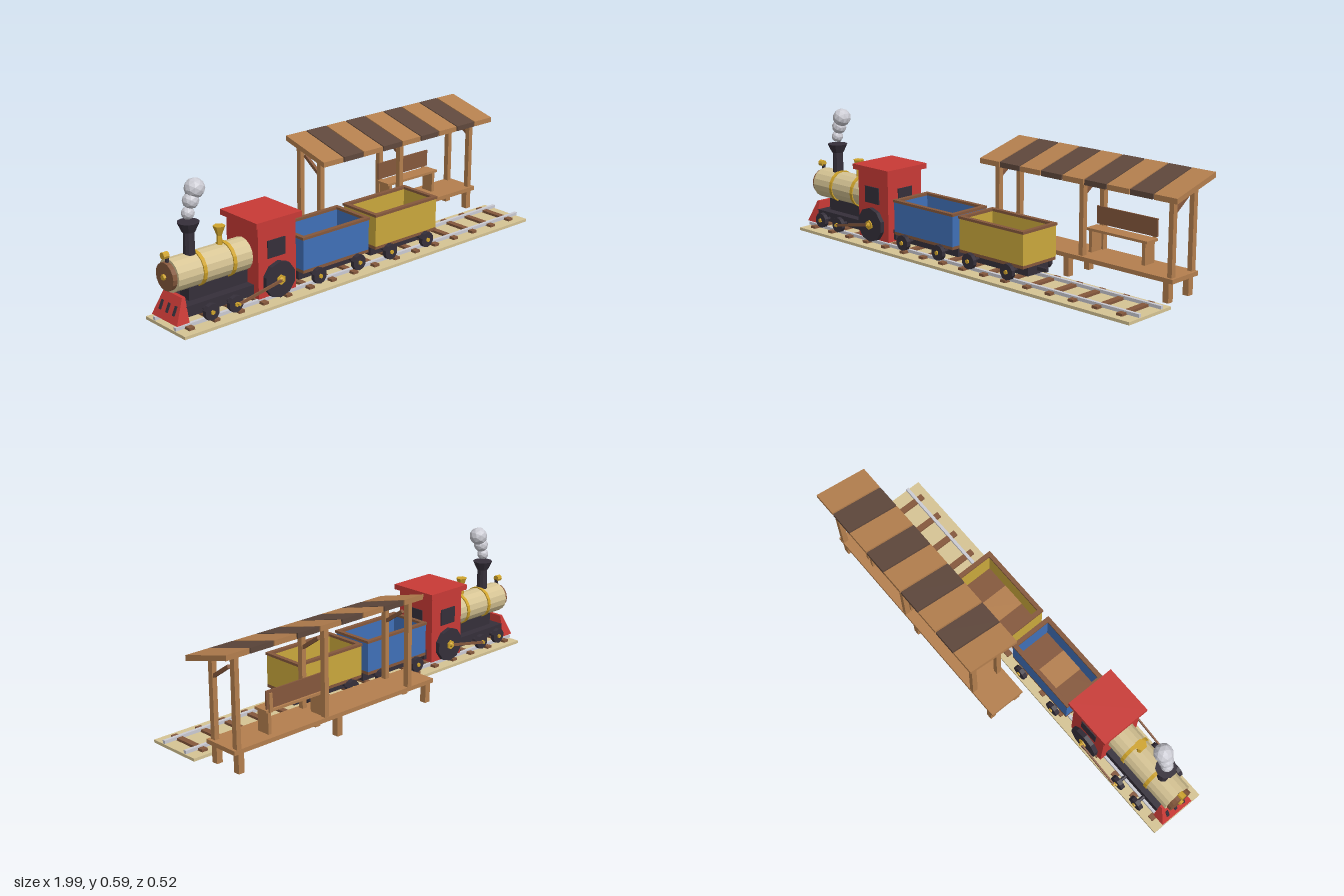
import * as THREE from 'three';

const mat = (name, color, extra = {}) => {
  const m = new THREE.MeshStandardMaterial({ color, flatShading: true, ...extra });
  m.name = name;
  return m;
};

export function createModel() {
  const red = mat('red paint', 0xc93a36), cream = mat('cream', 0xd6c494);
  const black = mat('dark iron', 0x352f3a), gold = mat('brass', 0xd0a42c);
  const blue = mat('blue paint', 0x4070b8), yellow = mat('yellow paint', 0xcaa83c);
  const wood = mat('light wood', 0xb47f4e), brown = mat('brown wood', 0x85583c);
  const dark = mat('dark wood', 0x5f483c), grey = mat('pale grey', 0xcbcbd3);
  const root = new THREE.Group();
  root.name = 'trainAndStation';
  const TZ = 0.114; // centre line of the track

  const group = (name, parent = root) => {
    const g = new THREE.Group();
    g.name = name;
    parent.add(g);
    return g;
  };
  const add = (parent, name, geo, m, x = 0, y = 0, z = 0) => {
    const mesh = new THREE.Mesh(geo, m);
    mesh.name = name;
    mesh.position.set(x, y, z);
    parent.add(mesh);
    return mesh;
  };
  // Box given by its limits on each axis
  const box = (parent, name, m, x0, x1, y0, y1, z0, z1) =>
    add(parent, name, new THREE.BoxGeometry(x1 - x0, y1 - y0, z1 - z0), m,
      (x0 + x1) / 2, (y0 + y1) / 2, (z0 + z1) / 2);
  const cylX = (r, len, sides) => new THREE.CylinderGeometry(r, r, len, sides).rotateZ(Math.PI / 2);
  const cylZ = (r, len, sides) => new THREE.CylinderGeometry(r, r, len, sides).rotateX(Math.PI / 2);

  // Track
  const track = group('track');
  box(track, 'trackBed', cream, -0.99, 0.98, 0, 0.013, -0.013, 0.249);
  for (let i = 0; i < 16; i++) {
    const x = -0.932 + i * 0.1225;
    box(track, 'sleeper', brown, x - 0.014, x + 0.014, 0.012, 0.024, 0.012, 0.217);
  }
  for (const s of [-1, 1])
    box(track, 'rail', grey, -0.99, 0.98, 0.016, 0.03, TZ + s * 0.069 - 0.007, TZ + s * 0.069 + 0.007);

  // Pair of wheels with hubs and an axle; z is relative to the centre line
  const wheelPair = (parent, x, y, r, sides) => {
    add(parent, 'axle', cylZ(0.008, 0.23, 8), black, x, y, 0);
    for (const s of [-1, 1]) {
      add(parent, 'wheel', cylZ(r, 0.02, sides), black, x, y, s * 0.115);
      add(parent, 'hub', cylZ(r * 0.28, 0.008, 6), gold, x, y, s * 0.127);
    }
  };

  // Locomotive
  const loco = group('locomotive');
  loco.position.z = TZ;
  box(loco, 'frame', black, -0.935, -0.39, 0.055, 0.1, -0.07, 0.07);
  box(loco, 'boilerSaddle', black, -0.89, -0.6, 0.1, 0.16, -0.03, 0.03);
  const BY = 0.217;
  add(loco, 'boiler', cylX(0.069, 0.36, 16), cream, -0.78, BY);
  add(loco, 'boilerDoor', cylX(0.058, 0.02, 16), brown, -0.97, BY);
  add(loco, 'doorKnob', cylX(0.012, 0.012, 6), gold, -0.985, BY);
  for (const x of [-0.835, -0.69]) add(loco, 'boilerBand', cylX(0.074, 0.016, 16), gold, x, BY);
  add(loco, 'lampStand', new THREE.BoxGeometry(0.012, 0.04, 0.012), black, -0.965, 0.28);
  add(loco, 'headLamp', cylX(0.015, 0.026, 8), gold, -0.975, 0.305);
  add(loco, 'chimney', new THREE.CylinderGeometry(0.023, 0.025, 0.11, 10), black, -0.86, 0.327);
  add(loco, 'chimneyTop', new THREE.CylinderGeometry(0.0455, 0.027, 0.04, 10), black, -0.86, 0.395);
  add(loco, 'domeStem', new THREE.CylinderGeometry(0.01, 0.014, 0.05, 6), gold, -0.713, 0.3);
  add(loco, 'dome', new THREE.CylinderGeometry(0.026, 0.009, 0.045, 6), gold, -0.713, 0.34);

  // Cab
  const cab = group('cab', loco);
  box(cab, 'cabBody', red, -0.6, -0.405, 0.045, 0.355, -0.101, 0.101);
  box(cab, 'cabRoof', red, -0.618, -0.385, 0.353, 0.377, -0.118, 0.118);
  for (const s of [-1, 1])
    add(cab, 'sideWindow', new THREE.BoxGeometry(0.09, 0.075, 0.008), black, -0.508, 0.247, s * 0.102);
  box(cab, 'rearWindow', black, -0.408, -0.401, 0.2, 0.283, -0.042, 0.042);

  // Cowcatcher: a wedge narrowed toward the top
  const wedge = new THREE.Shape([
    new THREE.Vector2(-0.99, 0.038), new THREE.Vector2(-0.93, 0.038),
    new THREE.Vector2(-0.93, 0.138), new THREE.Vector2(-0.945, 0.138)]);
  const wedgeGeo = new THREE.ExtrudeGeometry(wedge, { depth: 0.168, bevelEnabled: false }).translate(0, 0, -0.084);
  const wp = wedgeGeo.attributes.position;
  for (let i = 0; i < wp.count; i++) if (wp.getY(i) > 0.1) wp.setZ(i, wp.getZ(i) * 0.72);
  wedgeGeo.computeVertexNormals();
  add(loco, 'cowcatcher', wedgeGeo, red);
  for (const z of [-0.045, 0, 0.045]) {
    const slot = add(loco, 'cowcatcherSlot', new THREE.BoxGeometry(0.006, 0.04, 0.014), black, -0.969, 0.085, z);
    slot.rotation.z = -Math.atan2(0.045, 0.1);
  }

  // Running gear
  for (const x of [-0.848, -0.73]) wheelPair(loco, x, 0.071, 0.035, 10);
  wheelPair(loco, -0.505, 0.114, 0.078, 10);
  for (const s of [-1, 1]) {
    const rod = add(loco, 'connectingRod', new THREE.BoxGeometry(0.226, 0.012, 0.007), brown, -0.615, 0.094, s * 0.135);
    rod.rotation.z = Math.atan2(0.042, 0.222);
    for (const [x, y] of [[-0.725, 0.073], [-0.505, 0.115]])
      add(loco, 'crankPin', cylZ(0.007, 0.018, 6), gold, x, y, s * 0.133);
    const cap = add(loco, 'crankCap', new THREE.ConeGeometry(0.013, 0.018, 6), gold, -0.505, 0.115, s * 0.139);
    cap.rotation.x = s * Math.PI / 2;
  }

  // Smoke puffs
  const smoke = group('smoke', loco);
  for (const [x, y, r] of [[-0.86, 0.45, 0.027], [-0.845, 0.498, 0.034], [-0.825, 0.544, 0.042]])
    add(smoke, 'smokePuff', new THREE.IcosahedronGeometry(r, 1), grey, x, y);

  // Open wagons
  const wagon = (name, cx, paint) => {
    const g = group(name);
    g.position.set(cx, 0, TZ);
    const L = 0.182, W = 0.101, t = 0.012;
    box(g, 'underframe', black, -0.175, 0.175, 0.052, 0.092, -0.062, 0.062);
    box(g, 'coupling', black, -0.225, 0.225, 0.067, 0.083, -0.008, 0.008);
    box(g, 'floor', brown, -L, L, 0.092, 0.106, -W, W);
    box(g, 'floorPlank', wood, -0.057, 0.057, 0.106, 0.11, -W + t, W - t);
    for (const s of [-1, 1]) {
      add(g, 'sideWall', new THREE.BoxGeometry(2 * L, 0.136, t), paint, 0, 0.173, s * (W - t / 2));
      add(g, 'endWall', new THREE.BoxGeometry(t, 0.136, 2 * (W - t)), paint, s * (L - t / 2), 0.173, 0);
      add(g, 'sideRim', new THREE.BoxGeometry(2 * L + 0.008, 0.011, 0.02), brown, 0, 0.245, s * (W - 0.006));
      add(g, 'endRim', new THREE.BoxGeometry(0.02, 0.011, 2 * W - 0.032), brown, s * (L - 0.006), 0.245, 0);
      wheelPair(g, s * 0.11, 0.071, 0.035, 10);
    }
  };
  wagon('blueWagon', -0.183, blue);
  wagon('yellowWagon', 0.222, yellow);

  // Station platform
  const station = group('station');
  box(station, 'deck', wood, -0.155, 0.95, 0.085, 0.104, -0.231, -0.06);
  box(station, 'deckBlock', wood, 0.13, 0.28, 0.056, 0.085, -0.062, -0.047);
  for (const x of [-0.125, 0.395, 0.915])
    for (const z of [-0.079, -0.213])
      box(station, 'platformLeg', wood, x - 0.014, x + 0.014, 0, 0.086, z - 0.015, z + 0.015);

  // Shelter posts and braces
  for (const x of [-0.01, 0.468, 0.926]) {
    box(station, 'frontPost', wood, x - 0.011, x + 0.011, 0.1, 0.45, -0.095, -0.071);
    box(station, 'rearPost', wood, x - 0.011, x + 0.011, 0.1, 0.482, -0.23, -0.205);
    const brace = add(station, 'brace', new THREE.BoxGeometry(0.014, 0.015, 0.112), brown, x, 0.401, -0.138);
    brace.rotation.x = Math.atan2(0.062, 0.09);
  }

  // Sloping roof planks
  const slope = new THREE.Shape([
    new THREE.Vector2(0.01, 0.427), new THREE.Vector2(0.26, 0.492),
    new THREE.Vector2(0.26, 0.515), new THREE.Vector2(0.01, 0.45)]);
  const plankGeo = new THREE.ExtrudeGeometry(slope, { depth: 0.112, bevelEnabled: false }).rotateY(Math.PI / 2);
  for (let i = 0; i < 9; i++)
    add(station, 'roofPlank', plankGeo, i % 2 ? dark : wood, -0.056 + i * 0.1176);

  // Bench
  const bench = group('bench', station);
  box(bench, 'seat', wood, 0.445, 0.765, 0.198, 0.209, -0.204, -0.133);
  box(bench, 'backrest', brown, 0.447, 0.765, 0.215, 0.292, -0.206, -0.199);
  for (const x of [0.465, 0.745]) {
    box(bench, 'benchSide', wood, x - 0.008, x + 0.008, 0.1, 0.2, -0.2, -0.137);
    box(bench, 'backSupport', wood, x - 0.008, x + 0.008, 0.2, 0.28, -0.212, -0.204);
  }
  return root;
}
